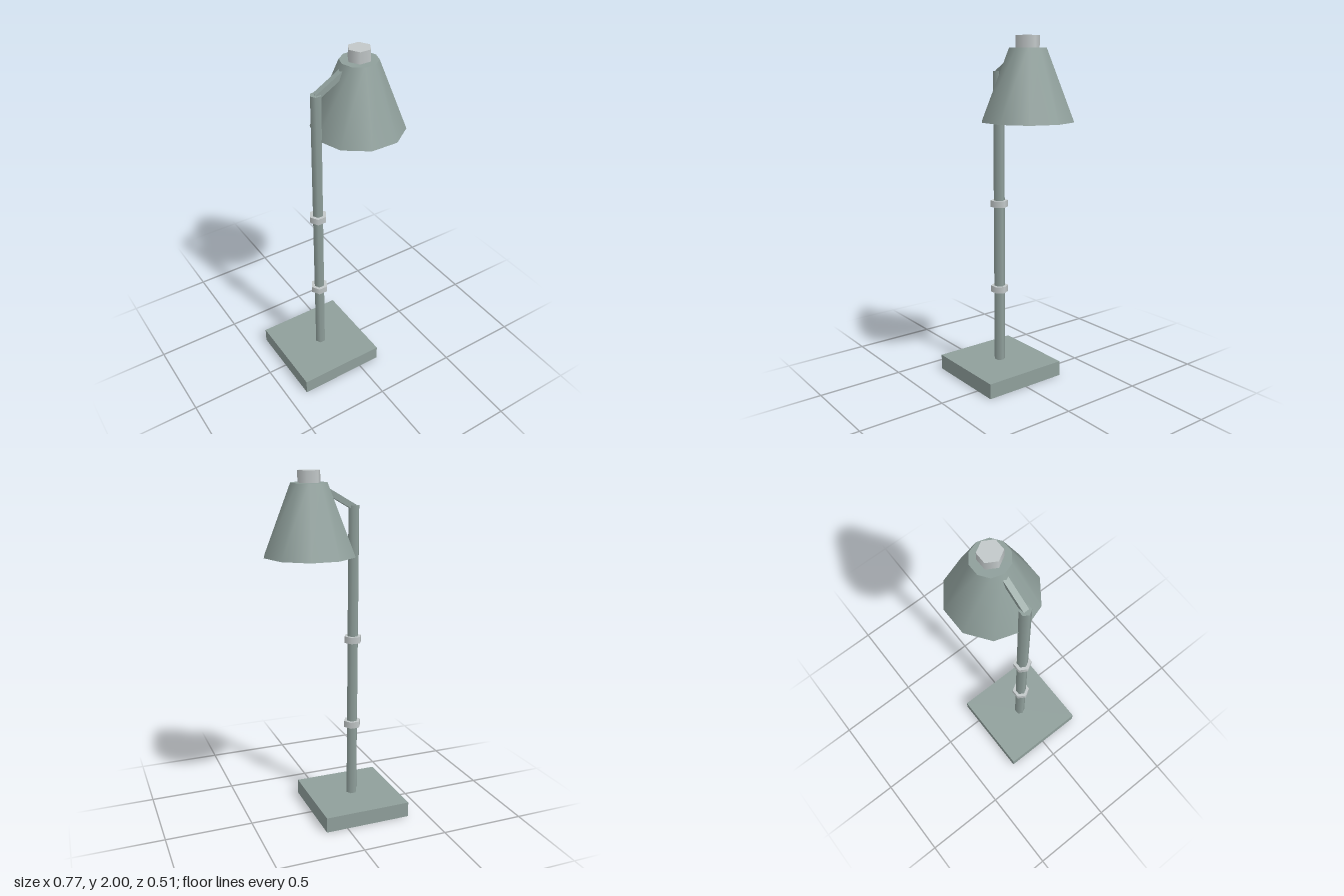
import * as THREE from 'three';

export function createModel() {
  const lamp = new THREE.Group();
  lamp.name = 'lamp';
  const metal = new THREE.MeshStandardMaterial({ color: 0x8f9f9b });
  metal.name = 'grey green metal';
  const trim = new THREE.MeshStandardMaterial({ color: 0xc2c8c9 });
  trim.name = 'pale grey trim';

  const poleX = -0.13, shadeX = 0.128;

  function add(name, geometry, material, x, y) {
    const mesh = new THREE.Mesh(geometry, material);
    mesh.name = name;
    mesh.position.set(x, y, 0);
    lamp.add(mesh);
    return mesh;
  }

  // Upright prism between two heights, with corners on the x axis
  function prism(name, material, x, y0, y1, rTop, rBottom, sides) {
    const geometry = new THREE.CylinderGeometry(rTop, rBottom, y1 - y0, sides);
    geometry.rotateY(Math.PI / 2);
    return add(name, geometry, material, x, (y0 + y1) / 2);
  }

  // Square foot and hexagonal pole
  add('base', new THREE.BoxGeometry(0.515, 0.09, 0.515), metal, poleX, 0.045);
  prism('pole', metal, poleX, 0.08, 1.81, 0.032, 0.032, 6);

  // Collars around the pole
  for (const [name, y] of [['lowerCollar', 0.52], ['upperCollar', 1.037]]) {
    prism(name, trim, poleX, y, y + 0.038, 0.051, 0.051, 6);
  }

  // Sloping arm from the pole top into the shade
  const slope = Math.PI / 6, length = 0.26;
  const armGeometry = new THREE.BoxGeometry(length, 0.032, 0.032);
  armGeometry.translate(length / 2, 0, 0);
  add('arm', armGeometry, metal, poleX, 1.8).rotation.z = slope;

  // Ten-sided shade with its cap
  prism('shade', metal, shadeX, 1.55, 1.936, 0.103, 0.257, 10);
  prism('cap', trim, shadeX, 1.93, 2, 0.064, 0.064, 6);

  return lamp;
}
